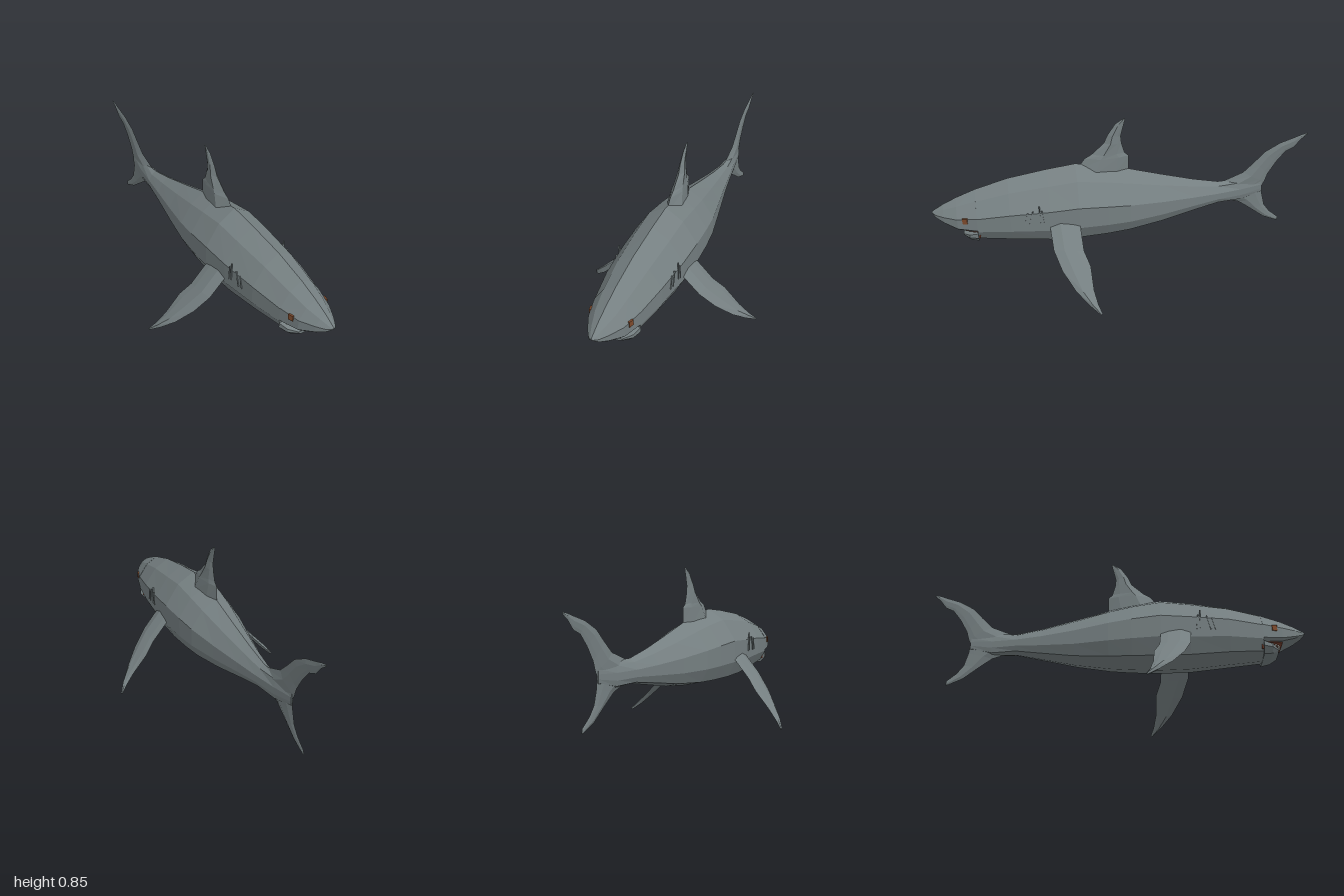
import * as THREE from 'three';

const paint = (name, color) => {
  const m = new THREE.MeshStandardMaterial({ color, flatShading: true });
  m.name = name;
  return m;
};

// Skin a closed solid over rings of equal length, with capped ends, facing outward
function loft(rings) {
  const pos = [];
  let volume = 0;
  const tri = (a, b, c) => {
    pos.push(...a, ...b, ...c);
    volume += new THREE.Vector3(...a).dot(new THREE.Vector3(...b).cross(new THREE.Vector3(...c)));
  };
  const n = rings[0].length;
  for (let i = 0; i < rings.length - 1; i++) {
    for (let j = 0; j < n; j++) {
      const k = (j + 1) % n, p = rings[i], q = rings[i + 1];
      tri(p[j], p[k], q[k]);
      tri(p[j], q[k], q[j]);
    }
  }
  const cap = (ring, flip) => {
    const mid = [0, 1, 2].map(a => ring.reduce((s, p) => s + p[a], 0) / n);
    for (let j = 0; j < n; j++) {
      const k = (j + 1) % n;
      if (flip) tri(mid, ring[k], ring[j]);
      else tri(mid, ring[j], ring[k]);
    }
  };
  cap(rings[0], true);
  cap(rings[rings.length - 1], false);
  if (volume < 0) {
    for (let i = 0; i < pos.length; i += 9) {
      for (let a = 0; a < 3; a++) {
        [pos[i + 3 + a], pos[i + 6 + a]] = [pos[i + 6 + a], pos[i + 3 + a]];
      }
    }
  }
  const g = new THREE.BufferGeometry();
  g.setAttribute('position', new THREE.Float32BufferAttribute(pos, 3));
  g.computeVertexNormals();
  return g;
}

// Ten-sided hull: rows are [z, top, bottom, halfWidth]; f holds heights of the side points
function hull(rows, f, edge) {
  return loft(rows.map(([z, top, bot, w]) => {
    const y = k => bot + k * (top - bot);
    const half = [[0.55 * w, y(f[0])], [w, y(f[1])], [w, y(f[2])], [edge * w, y(f[3])]];
    return [
      [0, top, z],
      ...half.map(p => [p[0], p[1], z]),
      [0, bot, z],
      ...half.reverse().map(p => [-p[0], p[1], z]),
    ];
  }));
}

// Lens-section fin: rows are [leadZ, leadY, trailZ, trailY, halfThickness]
function fin(rows, place = (z, y, s) => [s, y, z]) {
  return loft(rows.map(([z0, y0, z1, y1, t]) => {
    const at = (k, s) => place(z0 + (z1 - z0) * k, y0 + (y1 - y0) * k, s);
    return [at(0, 0), at(0.35, t), at(0.75, 0.6 * t), at(1, 0), at(0.75, -0.6 * t), at(0.35, -t)];
  }));
}

export function createModel() {
  const group = new THREE.Group();
  const skin = paint('greySkin', 0x757f81);
  const red = paint('mouthRed', 0x74402f);
  const white = paint('toothWhite', 0xe6e4dc);
  const amber = paint('eyeAmber', 0x7e4a2c);
  const add = (name, geometry, material) => {
    const mesh = new THREE.Mesh(geometry, material);
    mesh.name = name;
    group.add(mesh);
    return mesh;
  };

  // Body from mouth corners back to the tail root
  add('body', hull([
    [0.77, 0.515, 0.25, 0.118], [0.6, 0.565, 0.236, 0.147], [0.4, 0.6, 0.217, 0.165],
    [0.25, 0.62, 0.215, 0.17], [0.1, 0.597, 0.221, 0.16], [-0.02, 0.57, 0.23, 0.145],
    [-0.2, 0.52, 0.255, 0.107], [-0.38, 0.473, 0.294, 0.07], [-0.52, 0.445, 0.323, 0.045],
    [-0.65, 0.45, 0.323, 0.024], [-0.77, 0.44, 0.36, 0.006],
  ], [0.86, 0.58, 0.29, 0.08], 0.75), skin);

  // Head: snout above, lower jaw below, palate and lining between
  add('snout', hull([
    [0.77, 0.515, 0.318, 0.118], [0.87, 0.475, 0.328, 0.092], [0.94, 0.441, 0.355, 0.055],
    [0.98, 0.416, 0.376, 0.028], [1.0, 0.403, 0.396, 0.008],
  ], [0.82, 0.45, 0.08, 0], 0.85), skin);
  add('lowerJaw', hull([
    [0.77, 0.316, 0.25, 0.118], [0.815, 0.304, 0.258, 0.103], [0.848, 0.29, 0.272, 0.062],
  ], [1, 1, 0.6, 0.08], 0.75), skin);
  add('mouthLining', hull([
    [0.76, 0.33, 0.28, 0.106], [0.79, 0.33, 0.28, 0.09], [0.825, 0.33, 0.28, 0.05],
  ], [1, 1, 0, 0], 1), red);
  add('palate', hull([
    [0.77, 0.322, 0.314, 0.1], [0.83, 0.328, 0.32, 0.085], [0.872, 0.332, 0.324, 0.06],
  ], [1, 1, 0, 0], 1), red);

  // Teeth in two arcs
  for (let i = -5; i <= 5; i++) {
    const x = i * 0.018;
    const upper = add('upperTooth', new THREE.ConeGeometry(0.006, 0.02, 4), white);
    upper.position.set(x, 0.314, 0.862 - 8.5 * x * x);
    upper.rotation.x = Math.PI;
    if (i < 5) {
      const u = x + 0.009;
      add('lowerTooth', new THREE.ConeGeometry(0.005, 0.016, 4), white)
        .position.set(u, 0.299 + 1.5 * u * u, 0.84 - 8 * u * u);
    }
  }

  // Dorsal fin
  add('dorsalFin', fin([
    [0.25, 0.575, -0.03, 0.56, 0.042], [0.2, 0.645, -0.03, 0.645, 0.03],
    [0.165, 0.665, -0.008, 0.665, 0.026], [0.1, 0.725, 0.008, 0.72, 0.019],
    [0.08, 0.77, 0.012, 0.76, 0.013], [0.04, 0.83, 0.0, 0.81, 0.007],
    [0.0, 0.855, -0.012, 0.856, 0.003],
  ]), skin);

  // Tail lobes
  add('upperTailLobe', fin([
    [-0.53, 0.435, -0.77, 0.39, 0.018], [-0.66, 0.49, -0.785, 0.42, 0.013],
    [-0.72, 0.55, -0.8, 0.47, 0.009], [-0.77, 0.605, -0.84, 0.54, 0.007],
    [-0.85, 0.652, -0.885, 0.598, 0.006], [-0.93, 0.68, -0.93, 0.62, 0.005],
    [-0.97, 0.695, -0.965, 0.665, 0.004], [-1.0, 0.702, -0.995, 0.69, 0.002],
  ]), skin);
  add('lowerTailLobe', fin([
    [-0.55, 0.335, -0.77, 0.42, 0.018], [-0.65, 0.305, -0.78, 0.34, 0.012],
    [-0.72, 0.255, -0.8, 0.27, 0.008], [-0.8, 0.195, -0.835, 0.225, 0.006],
    [-0.87, 0.165, -0.885, 0.185, 0.004], [-0.885, 0.16, -0.888, 0.17, 0.003],
  ]), skin);

  for (const side of [1, -1]) {
    const label = side > 0 ? 'left' : 'right';

    // Pectoral fin, slanting down and out, with a blunt tip
    const place = (z, y, s) => [side * (0.165 + (0.35 - y) * 0.92 + 0.74 * s), y + 0.68 * s, z];
    add(label + 'PectoralFin', fin([
      [0.405, 0.37, 0.25, 0.37, 0.014], [0.395, 0.26, 0.242, 0.25, 0.013],
      [0.36, 0.18, 0.215, 0.19, 0.012], [0.3, 0.1, 0.21, 0.1, 0.012],
      [0.24, 0.045, 0.195, 0.045, 0.012], [0.186, 0.004, 0.178, 0.01, 0.006],
    ], place), skin);

    // Eye
    const eye = add(label + 'Eye', new THREE.BoxGeometry(0.009, 0.03, 0.026), amber);
    eye.position.set(side * 0.103, 0.39, 0.83);
    eye.rotation.y = -side * 0.26;

    // Gill folds: z, height, length, lean
    for (const [z, y, length, lean] of [
      [0.52, 0.403, 0.07, -0.25], [0.495, 0.408, 0.08, -0.25], [0.452, 0.425, 0.1, 0], [0.437, 0.41, 0.08, 0.1],
    ]) {
      const fold = add(label + 'GillFold', new THREE.BoxGeometry(0.007, length, 0.005), skin);
      fold.position.set(side * (0.147 + (0.6 - z) * 0.09), y, z);
      fold.rotation.set(lean, -side * 0.09, 0);
    }
  }
  return group;
}
